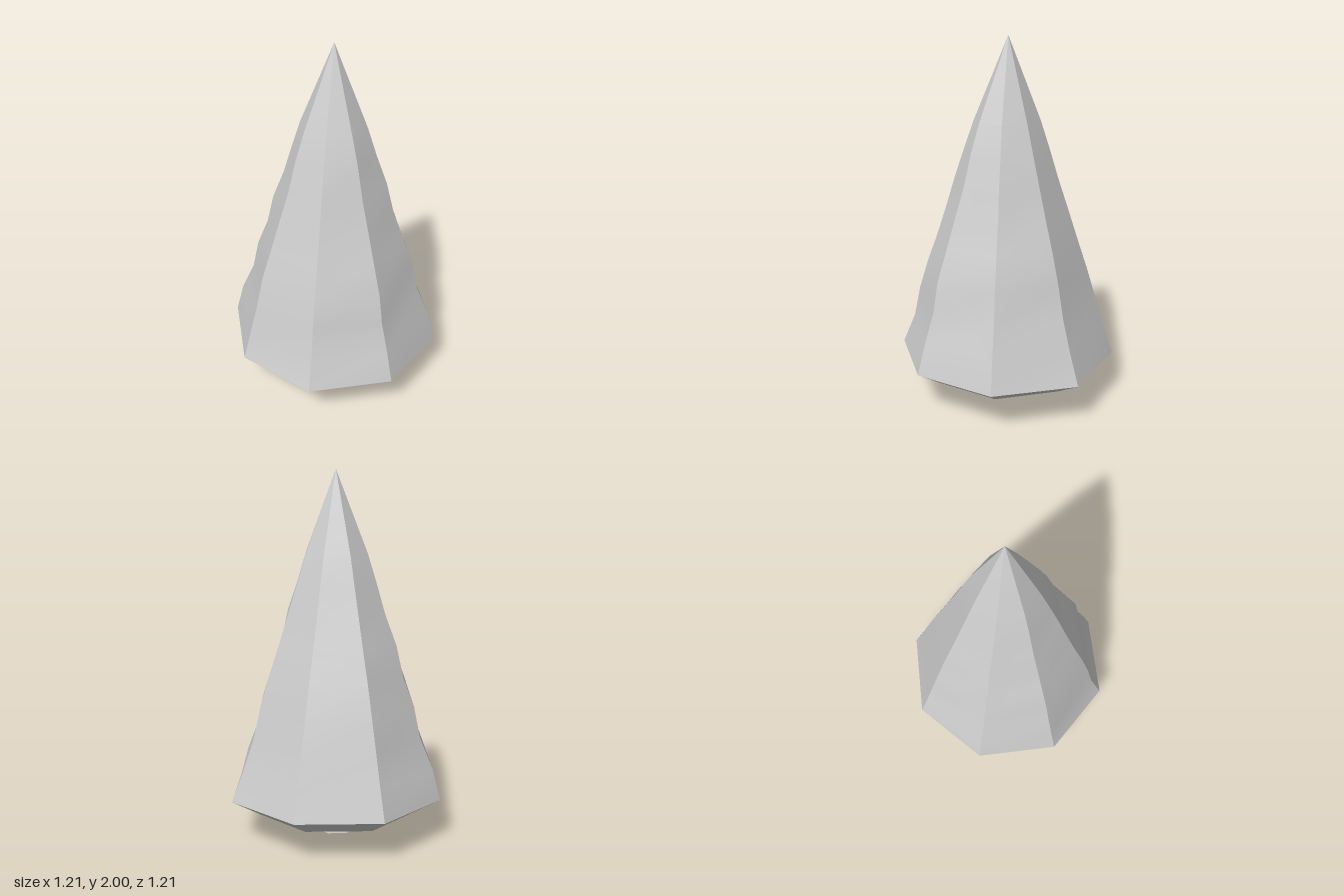
import * as THREE from 'three';
import { toCreasedNormals } from 'three/addons/utils/BufferGeometryUtils.js';

const SIDES = 8;

// Ring heights, and eight radii per ring starting at +x and turning towards +z
const RINGS = [
  [0.135, [0.455, 0.45, 0.45, 0.45, 0.44, 0.46, 0.46, 0.46]],
  [0.23, [0.605, 0.6, 0.605, 0.6, 0.605, 0.605, 0.605, 0.62]],
  [0.4, [0.555, 0.55, 0.535, 0.55, 0.56, 0.55, 0.55, 0.55]],
  [0.57, [0.485, 0.49, 0.5, 0.5, 0.485, 0.5, 0.5, 0.49]],
  [0.735, [0.45, 0.46, 0.45, 0.46, 0.45, 0.45, 0.45, 0.45]],
  [0.9, [0.39, 0.4, 0.39, 0.4, 0.385, 0.4, 0.395, 0.4]],
  [1.07, [0.33, 0.34, 0.335, 0.34, 0.345, 0.34, 0.34, 0.34]],
  [1.235, [0.29, 0.28, 0.285, 0.28, 0.28, 0.285, 0.285, 0.285]],
  [1.4, [0.23, 0.235, 0.23, 0.235, 0.23, 0.23, 0.235, 0.23]],
  [1.555, [0.18, 0.18, 0.175, 0.18, 0.18, 0.18, 0.185, 0.18]],
];

// Joins the rings with quads and closes both ends with a fan
function foliageGeometry() {
  const positions = [];
  const index = [];
  for (const [y, radii] of RINGS) {
    radii.forEach((r, i) => {
      const a = (i / SIDES) * Math.PI * 2;
      positions.push(r * Math.cos(a), y, r * Math.sin(a));
    });
  }
  const last = (RINGS.length - 1) * SIDES;
  const bottom = RINGS.length * SIDES;
  const apex = bottom + 1;
  positions.push(0, 0.135, 0, 0, 2, -0.01);

  for (let i = 0; i < SIDES; i++) {
    const j = (i + 1) % SIDES;
    for (let k = 0; k < last; k += SIDES) {
      index.push(k + i, k + SIDES + i, k + j);
      index.push(k + j, k + SIDES + i, k + SIDES + j);
    }
    index.push(bottom, i, j);
    index.push(last + i, apex, last + j);
  }
  const geometry = new THREE.BufferGeometry();
  geometry.setAttribute('position', new THREE.Float32BufferAttribute(positions, 3));
  geometry.setIndex(index);
  return toCreasedNormals(geometry, 0.5);
}

export function createModel() {
  const tree = new THREE.Group();
  tree.name = 'tree';

  // Faceted cone of needles with a bevelled skirt
  const foliage = new THREE.Mesh(
    foliageGeometry(),
    new THREE.MeshStandardMaterial({ color: 0xcccccc })
  );
  foliage.name = 'foliage';

  // Short flared trunk, open at the ends
  const trunk = new THREE.Mesh(
    new THREE.CylinderGeometry(0.11, 0.14, 0.14, SIDES, 1, true),
    new THREE.MeshStandardMaterial({ color: 0xcccccc, flatShading: true, side: THREE.DoubleSide })
  );
  trunk.name = 'trunk';
  trunk.position.set(-0.003, 0.07, 0);

  tree.add(foliage, trunk);
  return tree;
}
